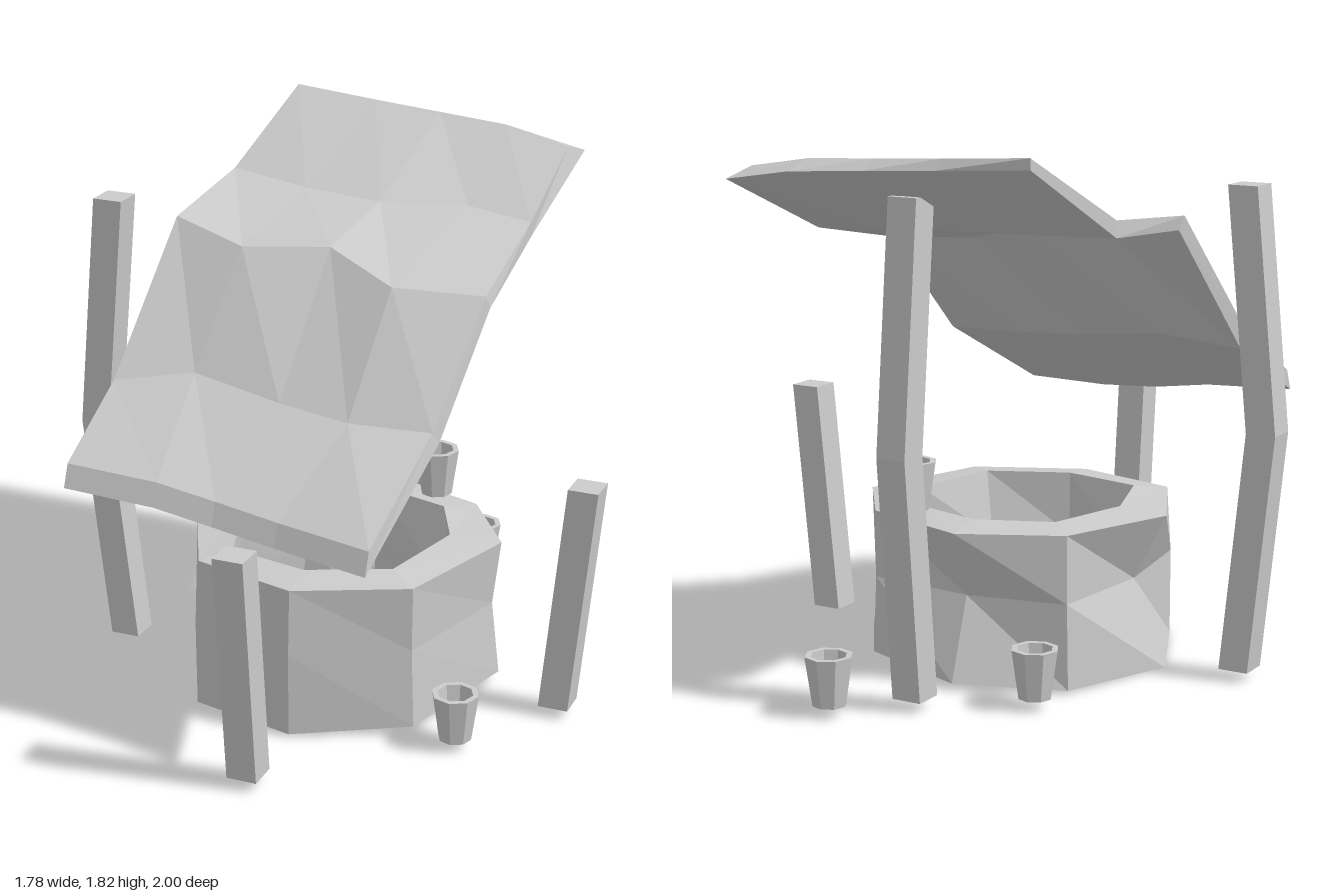
import * as THREE from 'three';

const material = new THREE.MeshStandardMaterial({ color: 0xcccccc, flatShading: true, side: THREE.DoubleSide });

// Skin a series of closed rings ([x, y, z] corners) and cap both ends.
function loft(name, rings) {
  const pos = [];
  const quad = (a, b, c, d) => pos.push(...a, ...b, ...c, ...a, ...c, ...d);
  const n = rings[0].length;
  for (let r = 0; r < rings.length - 1; r++) {
    for (let i = 0; i < n; i++) {
      const j = (i + 1) % n;
      quad(rings[r][i], rings[r + 1][i], rings[r + 1][j], rings[r][j]);
    }
  }
  const first = rings[0], last = rings[rings.length - 1];
  for (let i = 0; i < n / 2 - 1; i++) {
    quad(first[i], first[i + 1], first[n - 2 - i], first[n - 1 - i]);
    quad(last[n - 1 - i], last[n - 2 - i], last[i + 1], last[i]);
  }
  const geo = new THREE.BufferGeometry();
  geo.setAttribute('position', new THREE.Float32BufferAttribute(pos, 3));
  geo.computeVertexNormals();
  const mesh = new THREE.Mesh(geo, material);
  mesh.name = name;
  return mesh;
}

// Square post, turned to the well's axes, following a list of centres.
function post(name, centres) {
  const h = 0.052, c = Math.cos(0.31), s = Math.sin(0.31);
  const corners = [[h, h], [-h, h], [-h, -h], [h, -h]];
  return loft(name, centres.map(([x, y, z]) =>
    corners.map(([u, v]) => [x + u * c + v * s, y, z - u * s + v * c])));
}

// Sagging roof slab: rows run back to front, columns left to right.
function roof() {
  const top = [
    [[-0.86, 1.82, -0.68], [-0.55, 1.80, -0.75], [-0.3, 1.785, -0.81], [-0.05, 1.77, -0.87], [0.2, 1.73, -0.9]],
    [[-0.81, 1.6, -0.28], [-0.5, 1.58, -0.31], [-0.21, 1.57, -0.37], [0.05, 1.57, -0.53], [0.29, 1.55, -0.57]],
    [[-0.65, 1.56, 0.18], [-0.36, 1.51, 0.17], [-0.09, 1.53, 0.03], [0.2, 1.46, 0.06], [0.47, 1.45, -0.09]],
    [[-0.55, 1.11, 0.6], [-0.32, 1.15, 0.45], [0.01, 1.11, 0.4], [0.26, 1.09, 0.35], [0.52, 1.09, 0.24]],
    [[-0.455, 0.935, 0.91], [-0.15, 0.92, 0.81], [0.05, 0.89, 0.75], [0.28, 0.87, 0.71], [0.62, 0.86, 0.67]],
  ];
  // Underside offset of each row; the back one widens towards the right.
  const under = [[0, -0.035, -0.1], [0, -0.055, 0], [0, -0.045, -0.025], [0, -0.045, -0.035], [0.01, -0.075, 0.03]];
  return loft('roof', top.map((row, r) => {
    const [dx, dy, dz] = under[r];
    const bottom = row.map(([x, y, z], i) => [x + dx, y + dy, z + (r === 0 ? dz * i / 4 : dz)]);
    return [...row, ...bottom.reverse()];
  }));
}

// Chipped octagonal well wall with an open shaft.
function well() {
  const plan = [[0.47, 0.26], [0.17, 0.55], [-0.23, 0.57], [-0.51, 0.26],
    [-0.5, -0.18], [-0.22, -0.44], [0.2, -0.43], [0.46, -0.22]];
  const cx = -0.02, cz = 0.06;
  const ring = (y, scale, tilt = 0) => plan.map(([x, z], i) => {
    const k = scale[i % scale.length];
    return [cx + (x - cx) * k, y + tilt * (x - z), cz + (z - cz) * k];
  });
  return loft('wellWall', [
    ring(0.02, [1], 0.025),
    ring(0.3, [0.97, 0.99, 1, 0.78, 0.97, 0.8, 0.98, 0.95]),
    ring(0.53, [0.98, 0.96, 0.97, 1, 0.96, 0.97, 0.98, 1]),
    ring(0.545, [0.72, 0.7, 0.74, 0.68]),
    ring(0.32, [0.62, 0.7, 0.66, 0.72]),
    ring(0.08, [0.68]),
  ]);
}

// Small tapered bucket, open at the top.
function bucket(name, x, y, z) {
  const profile = [[0, 0], [0.056, 0], [0.08, 0.165], [0.06, 0.165], [0.045, 0.03], [0, 0.03]];
  const geo = new THREE.LatheGeometry(profile.map(([r, h]) => new THREE.Vector2(r, h)), 8, Math.PI / 8);
  const mesh = new THREE.Mesh(geo, material);
  mesh.name = name;
  mesh.position.set(x, y, z);
  return mesh;
}

export function createModel() {
  const group = new THREE.Group();
  group.name = 'well';
  group.add(
    well(),
    roof(),
    // Two broken posts and two full, bowed ones
    post('frontBrokenPost', [[0.27, 0.035, 0.855], [0.3, 0.845, 0.93]]),
    post('sideBrokenPost', [[0.745, 0.035, -0.175], [0.82, 0.845, -0.2]]),
    post('sideTallPost', [[-0.75, 0.035, 0.37], [-0.825, 0.845, 0.4], [-0.75, 1.655, 0.375]]),
    post('backTallPost', [[-0.265, 0.035, -0.635], [-0.295, 0.845, -0.715], [-0.265, 1.655, -0.635]]),
    // Buckets around the well and one on its rim
    bucket('rightBucket', 0.63, 0.035, 0.24),
    bucket('backBucket', -0.14, 0.035, -0.885),
    bucket('cornerBucket', -0.525, 0.035, -0.35),
    bucket('rimBucket', 0.055, 0.555, -0.37),
  );
  return group;
}
